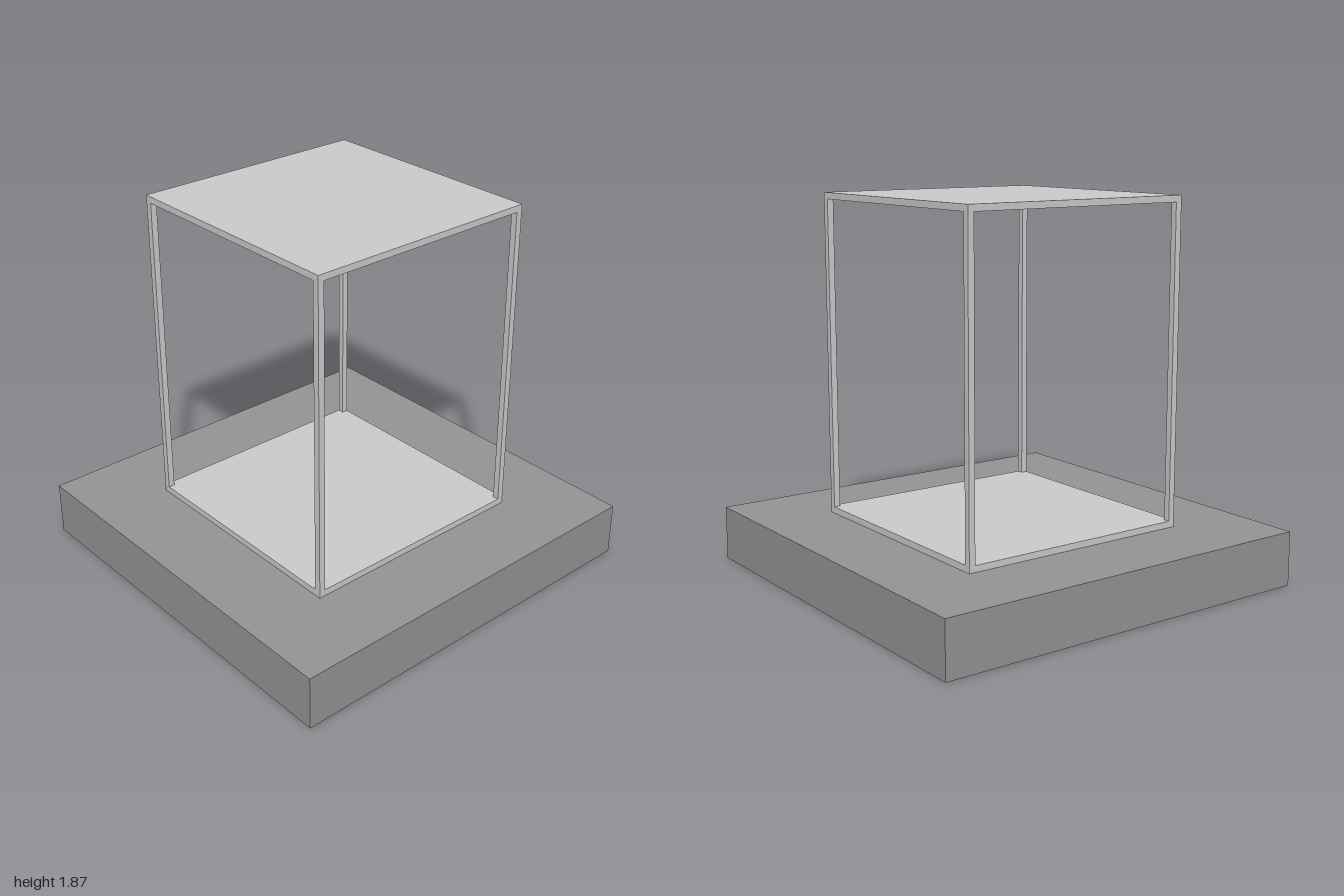
import * as THREE from 'three';

export function createModel() {
  const model = new THREE.Group();
  const light = new THREE.MeshStandardMaterial({ color: 0xcccccc });
  const dark = new THREE.MeshStandardMaterial({ color: 0x949494 });

  // Box placed by the height of its underside
  const addBox = (name, material, [w, h, d], x, bottom, z) => {
    const mesh = new THREE.Mesh(new THREE.BoxGeometry(w, h, d), material);
    mesh.name = name;
    mesh.position.set(x, bottom + h / 2, z);
    model.add(mesh);
  };

  const baseHeight = 0.27, top = 1.87, width = 1.212, t = 0.032;

  // Plinth
  addBox('base', dark, [2, baseHeight, 2], 0, 0, 0);

  // Floor and roof slabs of the open case
  addBox('floorPanel', light, [width, t, width], 0, baseHeight, 0);
  addBox('roofPanel', light, [width, t, width], 0, top - t, 0);

  // Four corner posts between the slabs
  const postHeight = top - baseHeight - 2 * t;
  const offset = (width - t) / 2;
  for (const [sx, side] of [[1, 'Left'], [-1, 'Right']]) {
    for (const [sz, end] of [[1, 'front'], [-1, 'back']]) {
      addBox(`${end}${side}Post`, light, [t, postHeight, t], sx * offset, baseHeight + t, sz * offset);
    }
  }
  return model;
}
